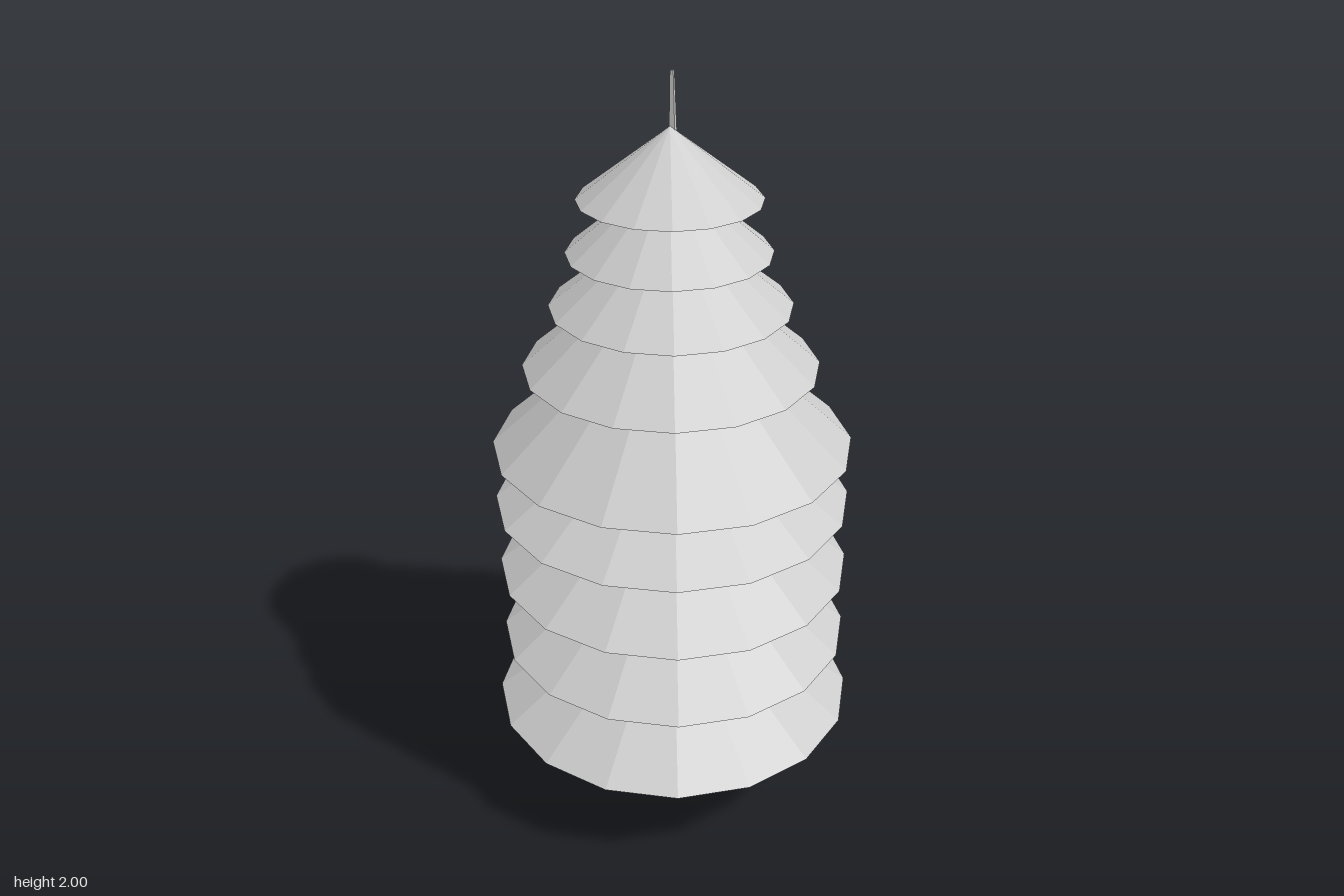
import * as THREE from 'three';

export function createModel() {
  const tree = new THREE.Group();
  tree.name = 'tree';
  const grey = new THREE.MeshStandardMaterial({ color: 0xcccccc, flatShading: true });
  grey.name = 'plain grey';

  // Square trunk flaring at the foot and running up to a thin tip: [y, half width, x, z]
  const sections = [
    [0, 0.041, 0.003, 0.007],
    [0.1, 0.027, 0.003, 0.005],
    [0.27, 0.022, 0.004, 0.003],
    [1.86, 0.007, 0.004, 0.012],
    [2, 0.004, 0.004, 0.017],
  ];
  const last = sections.length - 1;
  const trunkGeometry = new THREE.BoxGeometry(2, 1, 2, 1, last, 1);
  const p = trunkGeometry.attributes.position;
  for (let i = 0; i < p.count; i++) {
    const [y, half, x, z] = sections[Math.round((p.getY(i) + 0.5) * last)];
    p.setXYZ(i, x + p.getX(i) * half, y, z + p.getZ(i) * half);
  }
  trunkGeometry.computeVertexNormals();
  const trunk = new THREE.Mesh(trunkGeometry, grey);
  trunk.name = 'trunk';
  tree.add(trunk);

  // Overlapping 16-sided branch cones: [base y, radius, height, z]
  const tiers = [
    [0.27, 0.483, 0.36, 0],
    [0.48, 0.463, 0.37, -0.006],
    [0.69, 0.462, 0.36, 0],
    [0.89, 0.46, 0.335, 0.007],
    [1.05, 0.46, 0.42, 0.005],
    [1.27, 0.371, 0.325, 0.014],
    [1.43, 0.3, 0.245, 0.014],
    [1.57, 0.251, 0.21, 0.024],
    [1.7, 0.224, 0.173, 0.02],
  ];
  tiers.forEach(([y, radius, height, z], i) => {
    const tier = new THREE.Mesh(new THREE.ConeGeometry(radius, height, 16), grey);
    tier.name = `branchTier${i + 1}`;
    tier.position.set(0, y + height / 2, z);
    tree.add(tier);
  });
  return tree;
}
